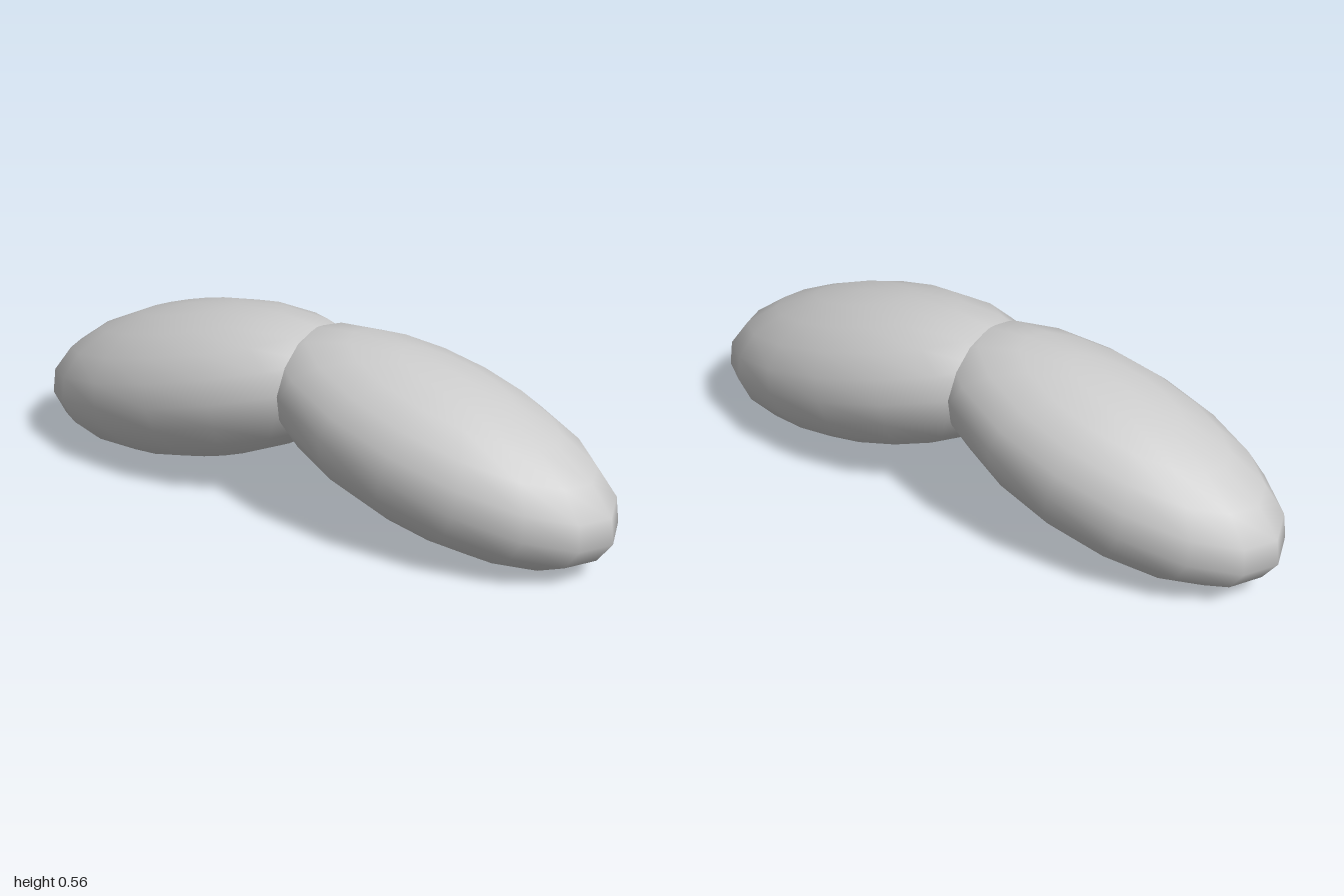
import * as THREE from 'three';

export function createModel() {
  const model = new THREE.Group();
  const material = new THREE.MeshStandardMaterial({ color: 0xcccccc });

  // One flattened, elongated lobe with its poles up and down
  const lobe = new THREE.SphereGeometry(0.3, 16, 10);
  lobe.scale(2, 0.8, 1);

  // Two mirrored lobes drooping outward and meeting in the middle
  for (const [name, side] of [['leftLobe', 1], ['rightLobe', -1]]) {
    const mesh = new THREE.Mesh(lobe, material);
    mesh.name = name;
    mesh.position.set(side * 0.42, 0.28, 0);
    mesh.rotation.z = -side * THREE.MathUtils.degToRad(15);
    model.add(mesh);
  }
  return model;
}
